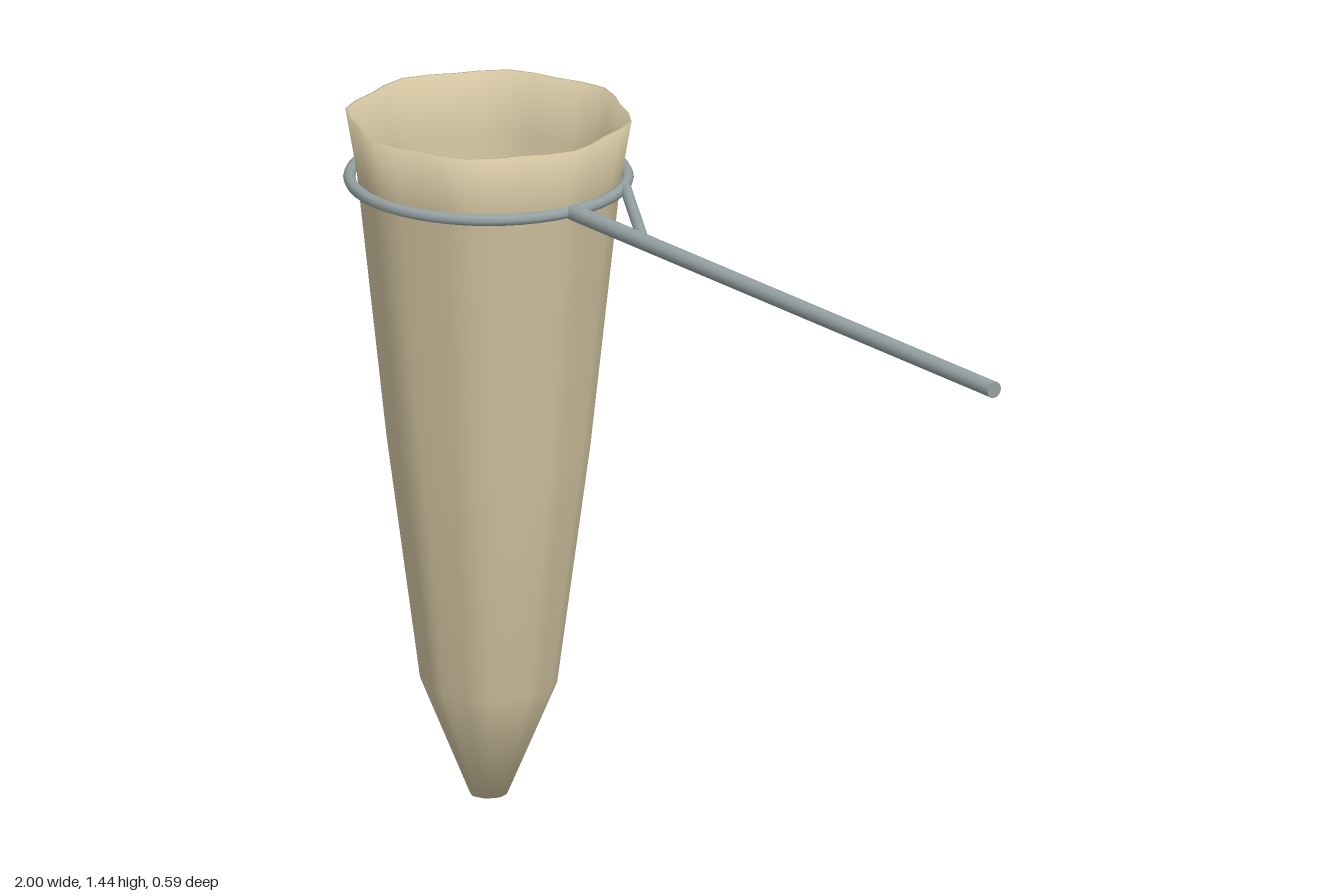
import * as THREE from 'three';
import { mergeVertices } from 'three/addons/utils/BufferGeometryUtils.js';

const CX = -0.705; // axis of the sock
const RING_Y = 1.311;
const TOP_Y = 1.442;

// Straight round bar between two points
function bar(name, a, b, radius, material) {
  const dir = b.clone().sub(a);
  const mesh = new THREE.Mesh(new THREE.CylinderGeometry(radius, radius, dir.length(), 16), material);
  mesh.position.copy(a).add(b).multiplyScalar(0.5);
  mesh.quaternion.setFromUnitVectors(new THREE.Vector3(0, 1, 0), dir.normalize());
  mesh.name = name;
  return mesh;
}

// Tapered double-walled fabric bag with eight soft ribs
function sockGeometry() {
  const profile = [
    [0, 0], [0.038, 0], [0.14, 0.242], [0.208, 0.75], [0.269, RING_Y], [0.292, TOP_Y], // outside
    [0.287, TOP_Y], [0.263, RING_Y], [0.202, 0.75], [0.134, 0.242], [0.034, 0.01], [0, 0.01], // inside
  ];
  let geo = new THREE.LatheGeometry(profile.map(([r, y]) => new THREE.Vector2(r, y)), 32);
  const pos = geo.attributes.position;
  for (let i = 0; i < pos.count; i++) {
    const x = pos.getX(i), z = pos.getZ(i);
    const k = 1 - 0.03 * (1 - Math.cos(8 * Math.atan2(z, x)));
    pos.setX(i, x * k);
    pos.setZ(i, z * k);
  }
  geo.deleteAttribute('normal');
  geo.deleteAttribute('uv');
  geo = mergeVertices(geo, 1e-5);
  geo.computeVertexNormals();

  // Round the shading over the rim and under the tip
  const n = new THREE.Vector3();
  for (let i = 0; i < geo.attributes.position.count; i++) {
    const y = geo.attributes.position.getY(i);
    const tilt = y > TOP_Y - 0.001 ? 0.9 : y < 0.005 ? -0.9 : 0;
    n.fromBufferAttribute(geo.attributes.normal, i);
    n.y += tilt;
    n.normalize();
    geo.attributes.normal.setXYZ(i, n.x, n.y, n.z);
  }
  return geo;
}

export function createModel() {
  const fabric = new THREE.MeshStandardMaterial({ color: 0xd2c4a0 });
  fabric.name = 'tan fabric';
  const steel = new THREE.MeshStandardMaterial({ color: 0x95a1a3 });
  steel.name = 'grey metal';

  const model = new THREE.Group();
  model.name = 'netBagOnPole';

  const sock = new THREE.Mesh(sockGeometry(), fabric);
  sock.name = 'sock';
  sock.position.x = CX;

  // Hoop around the mouth
  const hoop = new THREE.Mesh(new THREE.TorusGeometry(0.281, 0.0125, 8, 48), steel);
  hoop.name = 'hoop';
  hoop.rotation.x = Math.PI / 2;
  hoop.position.set(CX, RING_Y, 0);

  // Handle and its single rear brace
  const handle = bar('handle', new THREE.Vector3(-0.42, RING_Y, 0), new THREE.Vector3(1, RING_Y, 0), 0.017, steel);
  const brace = bar('brace', new THREE.Vector3(-0.49, RING_Y, -0.183), new THREE.Vector3(-0.19, RING_Y, -0.005), 0.012, steel);

  model.add(sock, hoop, handle, brace);
  return model;
}
